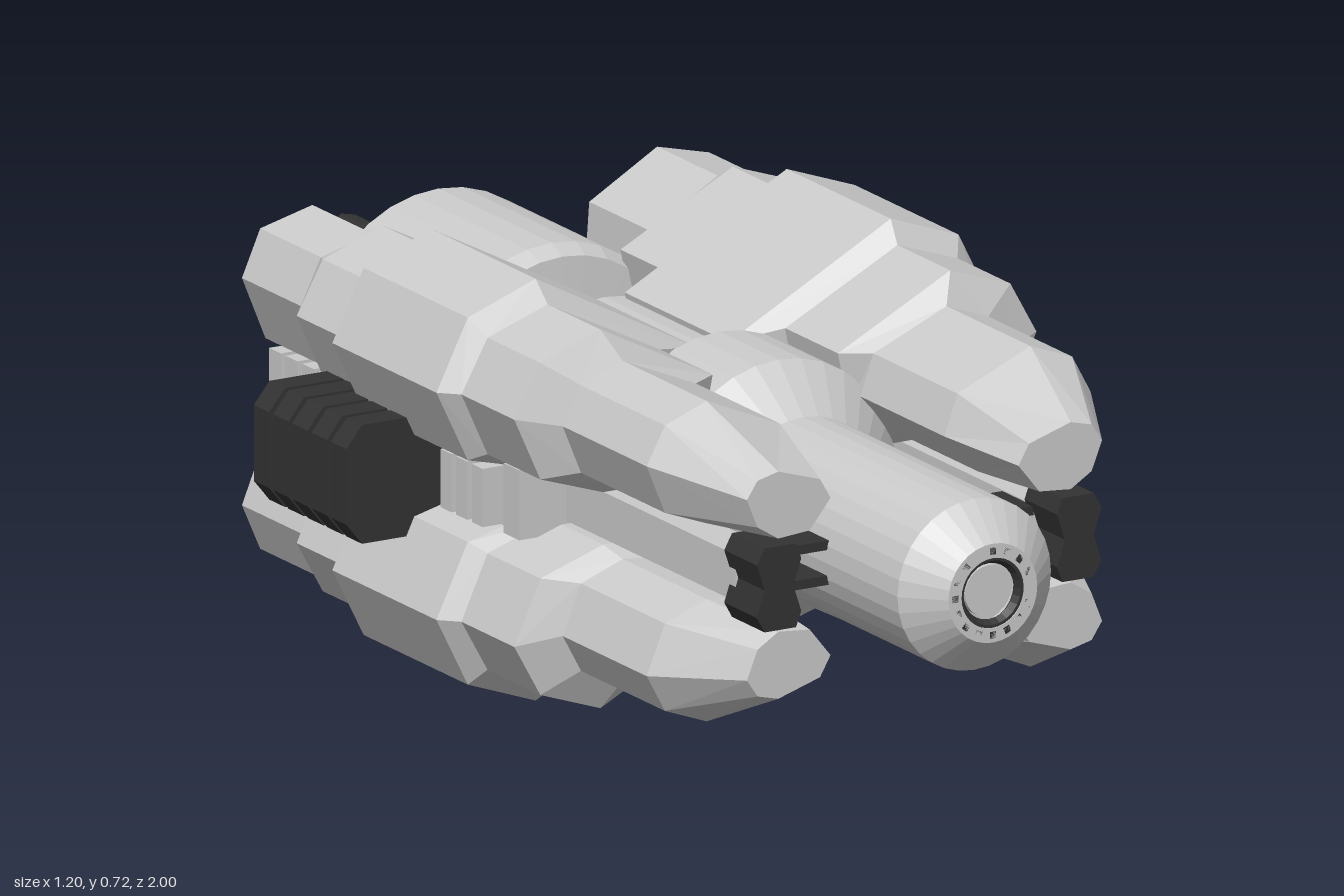
import * as THREE from 'three';

const grey = new THREE.MeshStandardMaterial({ color: 0xcccccc, flatShading: true, side: THREE.DoubleSide });
const dark = new THREE.MeshStandardMaterial({ color: 0x333333, flatShading: true, side: THREE.DoubleSide });
const CY = 0.365; // height of the long axis

function add(parent, name, geo, mat, x = 0, y = 0, z = 0) {
  const m = new THREE.Mesh(geo, mat);
  m.name = name;
  m.position.set(x, y, z);
  parent.add(m);
  return m;
}

// Profile of [radius, z] pairs turned about the z axis
function turned(profile, sides) {
  const g = new THREE.LatheGeometry(profile.map(([r, z]) => new THREE.Vector2(r, z)), sides);
  return g.rotateX(Math.PI / 2);
}

// Outline of [x, y] pairs extruded from z0 to z1
function slab(points, z0, z1) {
  const shape = new THREE.Shape(points.map(([x, y]) => new THREE.Vector2(x, y)));
  return new THREE.ExtrudeGeometry(shape, { depth: z1 - z0, bevelEnabled: false }).translate(0, 0, z0);
}

// Skin over rings of points, listed front to back, closed at both ends; mirrored by sx, sy
function loft(rings, sx, sy) {
  const n = rings[0].pts.length, pos = [], idx = [];
  const tri = (a, b, c) => (sx * sy > 0 ? idx.push(a, b, c) : idx.push(a, c, b));
  for (const { pts, z } of rings) for (const [x, y] of pts) pos.push(x * sx, (y - CY) * sy, z);
  for (let r = 0; r < rings.length - 1; r++) {
    for (let i = 0; i < n; i++) {
      const a = r * n + i, b = r * n + (i + 1) % n;
      tri(a, b, a + n);
      tri(b, b + n, a + n);
    }
  }
  const last = (rings.length - 1) * n;
  for (let i = 1; i < n - 1; i++) {
    tri(0, i + 1, i);
    tri(last, last + i, last + i + 1);
  }
  const g = new THREE.BufferGeometry();
  g.setAttribute('position', new THREE.Float32BufferAttribute(pos, 3));
  g.setIndex(idx);
  const flat = g.toNonIndexed();
  flat.computeVertexNormals();
  return flat;
}

// Pod cross-sections: nose tip, nose, shoulder, broad middle, tail
const tip = [[.2, .535], [.28, .56], [.32, .55], [.34, .52], [.32, .47], [.28, .445], [.22, .45], [.18, .5]];
const nose = [[.17, .58], [.31, .64], [.39, .61], [.425, .545], [.39, .46], [.31, .43], [.21, .44], [.145, .51]];
const shoulder = [[.12, .58], [.335, .69], [.45, .65], [.5, .56], [.45, .45], [.33, .41], [.22, .41], [.14, .48]];
const middle = [[.03, .562], [.34, .727], [.47, .68], [.53, .56], [.47, .435], [.33, .4], [.2, .4], [.05, .45]];
const tail = [[.2, .59], [.33, .665], [.43, .64], [.465, .56], [.42, .45], [.33, .43], [.24, .45], [.195, .52]];
const shrink = (pts, k) => pts.map(([x, y]) => [.33 + (x - .33) * k, .545 + (y - .545) * k]);

const podRings = [
  { pts: tip, z: .78 }, { pts: nose, z: .6 }, { pts: nose, z: .33 },
  { pts: shoulder, z: .3 }, { pts: shoulder, z: .13 },
  { pts: middle, z: .1 }, { pts: middle, z: -.235 },
  { pts: shoulder, z: -.26 }, { pts: shoulder, z: -.4 },
  { pts: tail, z: -.44 }, { pts: tail, z: -.635 },
  { pts: shrink(tail, .68), z: -.635 }, { pts: shrink(tail, .55), z: -.55 },
];

export function createModel() {
  const model = new THREE.Group();
  model.name = 'model';
  const ship = new THREE.Group();
  ship.name = 'hull';
  ship.position.y = CY;
  model.add(ship);

  // Central body with a hollow muzzle
  add(ship, 'coreBody', turned([
    [0, -.8], [.17, -.83], [.2, -.8], [.24, -.785], [.24, -.42], [.225, -.385], [.15, -.38],
    [.15, -.27], [.19, -.25], [.19, .1], [.225, .12], [.225, .31], [.147, .39],
    [.147, .94], [.085, 1], [.06, 1], [.06, .96], [0, .96],
  ], 32), grey);
  add(ship, 'muzzleRing', new THREE.TorusGeometry(.062, .014, 6, 24), dark, 0, 0, .986);
  for (let i = 0; i < 16; i++) {
    const a = i * Math.PI / 8;
    const tooth = add(ship, 'muzzleTooth', new THREE.BoxGeometry(.012, .012, .02), dark,
      .072 * Math.cos(a), .072 * Math.sin(a), .99);
    tooth.rotation.z = a;
  }
  add(ship, 'muzzleCore', new THREE.CylinderGeometry(.044, .044, .02, 24).rotateX(Math.PI / 2), grey, 0, 0, .975);

  // Rear thruster: hub, cap and four slotted lobes
  add(ship, 'thrusterHub', turned([
    [.13, -.79], [.13, -.94], [.108, -.95], [.108, -.965], [.06, -1], [0, -1],
  ], 24), dark);
  for (let i = 0; i < 4; i++) {
    const lobe = new THREE.Group();
    lobe.name = 'thrusterLobe';
    lobe.rotation.z = Math.PI / 4 + i * Math.PI / 2;
    ship.add(lobe);
    add(lobe, 'lobeBlock', slab([
      [.09, -.05], [.165, -.07], [.188, -.055], [.188, .055], [.165, .07], [.09, .05],
    ], -.94, -.81), dark);
    add(lobe, 'lobeFoot', new THREE.BoxGeometry(.07, .09, .04), dark, .14, 0, -.8);
    for (const s of [-1, 1]) {
      add(lobe, 'lobeSlot', new THREE.BoxGeometry(.006, .022, .07), grey, .187, s * .025, -.87);
    }
  }

  // Four pods around the body
  for (const sx of [1, -1]) {
    for (const sy of [1, -1]) {
      add(ship, 'pod', loft(podRings, sx, sy), grey);
      add(ship, 'podNozzle', new THREE.CylinderGeometry(.045, .045, .05, 6).rotateX(Math.PI / 2), dark,
        sx * .33, sy * .18, -.56);
    }
  }

  // Equipment in the channel between each pair of pods
  for (const s of [1, -1]) {
    const side = new THREE.Group();
    side.name = s > 0 ? 'leftChannel' : 'rightChannel';
    if (s < 0) side.rotation.z = Math.PI;
    ship.add(side);
    add(side, 'channelFloor', new THREE.BoxGeometry(.24, .12, .69), grey, .28, 0, -.215);

    // Forward barrel with its dark chevron muzzle
    add(side, 'barrel', new THREE.BoxGeometry(.07, .08, .58), grey, .285, 0, .42);
    add(side, 'barrelCollar', new THREE.BoxGeometry(.12, .12, .05), grey, .35, 0, .14);
    add(side, 'barrelMuzzle', slab([
      [.245, -.045], [.255, -.072], [.315, -.072], [.33, -.045], [.315, 0],
      [.33, .045], [.315, .072], [.255, .072], [.245, .045], [.26, 0],
    ], .69, .795), dark);
    for (const y of [-.03, .03]) {
      add(side, 'barrelStrut', new THREE.BoxGeometry(.12, .016, .1), dark, .2, y, .66);
    }

    // Ribs ahead of and behind the side unit
    for (let i = 0; i < 3; i++) {
      add(side, 'frontRib', new THREE.BoxGeometry(.1, .1, .035), grey, .39, 0, .08 - i * .05);
    }
    for (let i = 0; i < 4; i++) {
      add(side, 'rearRib', new THREE.BoxGeometry(.1, .16, .038), grey, .385, 0, -.42 - i * .053);
    }

    // Ribbed side unit
    const outline = (d) => [
      [.4, -.06], [.46, -.102 + d], [.57 - d, -.102 + d], [.6 - d, -.065],
      [.6 - d, .065], [.57 - d, .102 - d], [.46, .102 - d], [.4, .06],
    ];
    add(side, 'sideUnitCore', slab(outline(.012), -.365, -.075), dark);
    for (let i = 0; i < 5; i++) {
      const z = -.37 + i * .062;
      add(side, 'sideUnitRib', slab(outline(0), z, z + .05), dark);
    }
  }
  return model;
}
